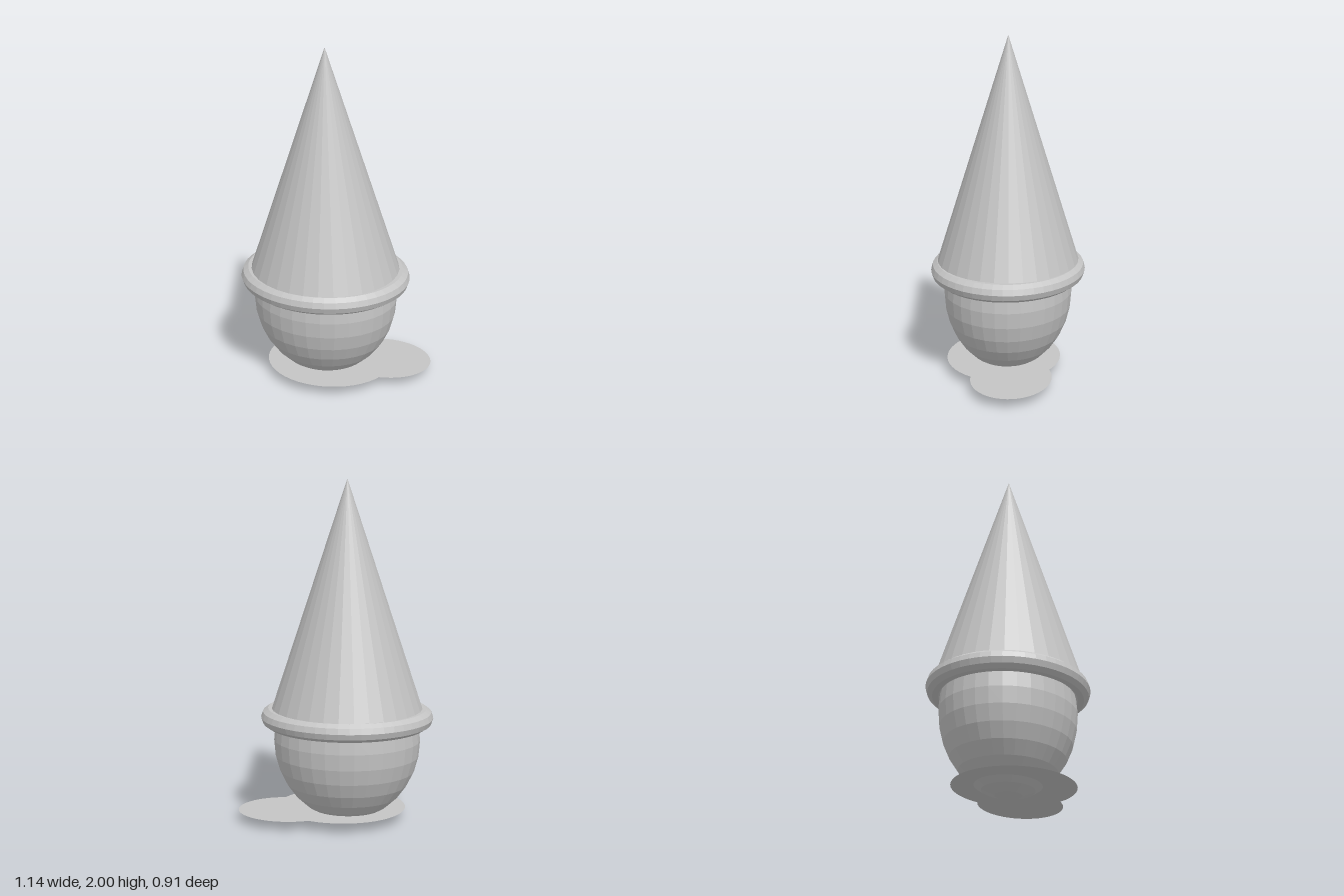
import * as THREE from 'three';

export function createModel() {
  const group = new THREE.Group();
  const grey = new THREE.MeshStandardMaterial({ color: 0xc4c4c4, flatShading: true, side: THREE.DoubleSide });
  grey.name = 'grey';

  function add(name, geometry, x, y, z) {
    const mesh = new THREE.Mesh(geometry, grey);
    mesh.name = name;
    mesh.position.set(x, y, z);
    group.add(mesh);
    return mesh;
  }

  const axisX = -0.065;

  // Oval rounded body
  add('body', new THREE.SphereGeometry(1, 32, 16).scale(0.43, 0.48, 0.38), axisX, 0.484, 0);

  // Tall pointed top, slightly oval, its foot hidden in the rim
  add('cone', new THREE.ConeGeometry(1, 1.36, 32).scale(0.452, 1, 0.428), axisX, 1.32, 0);

  // Rounded rim between body and cone
  add('rim', new THREE.TorusGeometry(0.445, 0.06, 10, 48)
    .rotateX(Math.PI / 2).scale(1, 0.93, 0.902), axisX, 0.62, 0);

  // Flat base made of two overlapping oval sheets
  const sheet = (rx, rz) => new THREE.CircleGeometry(1, 48).rotateX(-Math.PI / 2).scale(rx, 1, rz);
  add('basePlate', sheet(0.38, 0.34), -0.03, 0.067, 0.02);
  add('baseSidePlate', sheet(0.29, 0.235), 0.28, 0.063, -0.08);

  return group;
}
